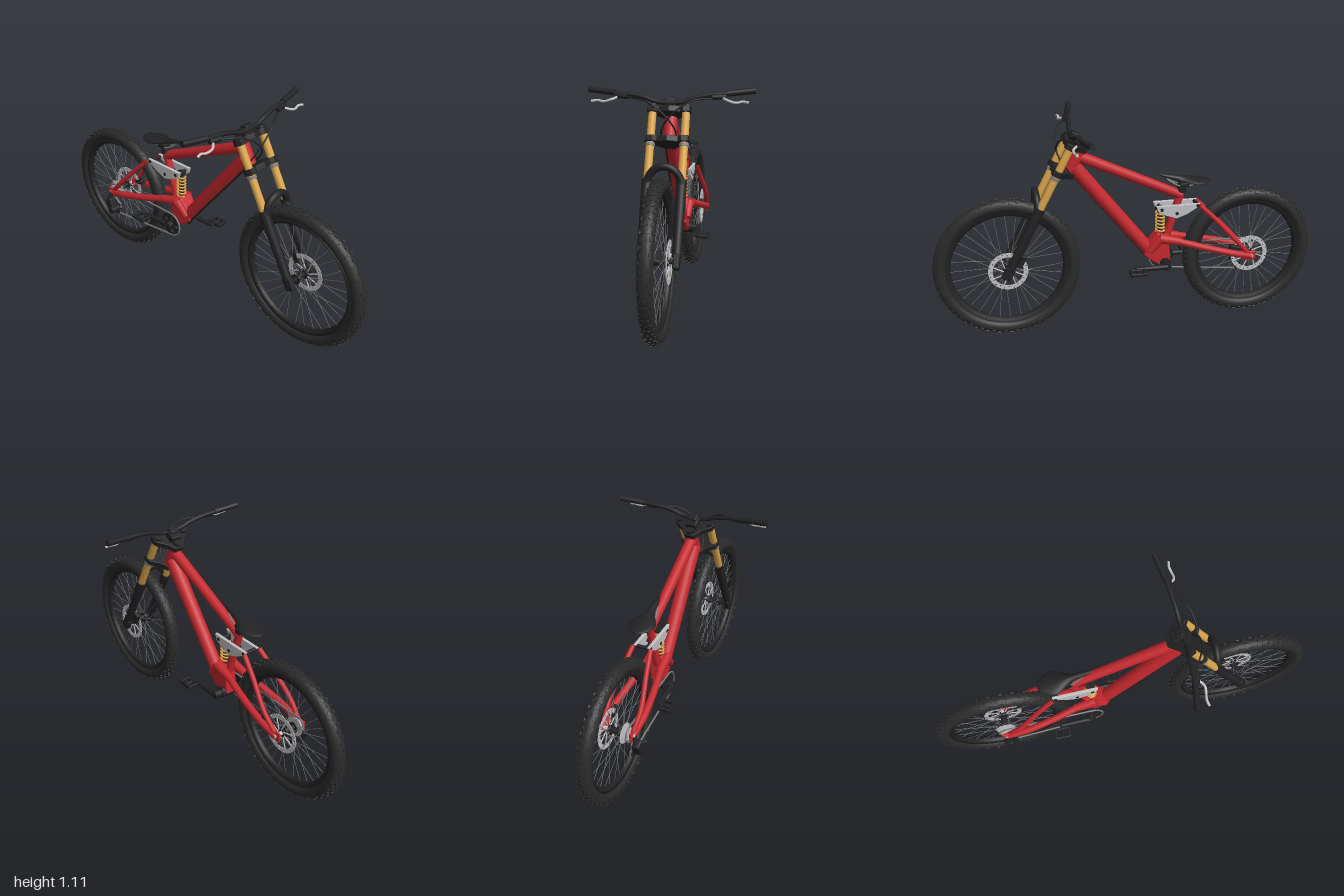
import * as THREE from 'three';
import { mergeGeometries } from 'three/addons/utils/BufferGeometryUtils.js';
import { RoundedBoxGeometry } from 'three/addons/geometries/RoundedBoxGeometry.js';

const mat = (name, color) => Object.assign(new THREE.MeshStandardMaterial({ color }), { name });
const tireBlack = mat('tireBlack', 0x2b2b2b);
const partBlack = mat('partBlack', 0x222224);
const red = mat('frameRed', 0xc4282e);
const gold = mat('gold', 0xd9a54a);
const silver = mat('silver', 0xc2c2c4);
const steel = mat('steel', 0x7d7d80);

const V = (p) => new THREE.Vector3(...p);

function add(parent, name, geo, material, pos = [0, 0, 0], rotZ = 0) {
  const m = new THREE.Mesh(geo, material);
  m.name = name;
  m.position.set(...pos);
  m.rotation.z = rotZ;
  parent.add(m);
  return m;
}

// Straight round bar from a to b, r at a and r2 at b
function rodGeo(a, b, r, r2 = r, sides = 20) {
  const d = V(b).sub(V(a));
  const g = new THREE.CylinderGeometry(r2, r, d.length(), sides);
  g.applyQuaternion(new THREE.Quaternion().setFromUnitVectors(new THREE.Vector3(0, 1, 0), d.clone().normalize()));
  const c = V(a).addScaledVector(d, 0.5);
  return g.translate(c.x, c.y, c.z);
}
const rod = (p, name, a, b, r, material, r2 = r) => add(p, name, rodGeo(a, b, r, r2), material);

const bentGeo = (pts, r, seg = 32, sides = 12) =>
  new THREE.TubeGeometry(new THREE.CatmullRomCurve3(pts.map(V)), seg, r, sides);
const bent = (p, name, pts, r, material) => add(p, name, bentGeo(pts, r), material);

// Flat plate from an outline, centred on its thickness
function plateGeo(pts, depth, holes = [], bevel = 0.003) {
  const s = new THREE.Shape(pts.map(([x, y]) => new THREE.Vector2(x, y)));
  holes.forEach(([x, y, r]) => s.holes.push(new THREE.Path().absarc(x, y, r, 0, Math.PI * 2, true)));
  const g = new THREE.ExtrudeGeometry(s, { depth, bevelEnabled: bevel > 0, bevelSize: bevel, bevelThickness: bevel, bevelSegments: 2, curveSegments: 10 });
  return g.translate(0, 0, -depth / 2);
}

const circle = (r, n = 48) => Array.from({ length: n }, (_, i) => [r * Math.cos(i / n * 2 * Math.PI), r * Math.sin(i / n * 2 * Math.PI)]);
const polar = (r, a, z) => [r * Math.cos(a), r * Math.sin(a), z];

// Brake disc: drilled ring with slanted arms
function discGeo() {
  const drill = Array.from({ length: 24 }, (_, i) => [...polar(i % 2 ? 0.094 : 0.086, i * Math.PI / 12, 0).slice(0, 2), 0.0035]);
  const parts = [plateGeo(circle(0.1, 72), 0.003, [[0, 0, 0.078], ...drill], 0).toNonIndexed?.() ?? null].filter(Boolean);
  for (let i = 0; i < 8; i++) {
    const a = i * Math.PI / 4;
    parts.push(rodGeo(polar(0.022, a, 0), polar(0.081, a + 0.35, 0), 0.0035, 0.0035, 6).toNonIndexed());
  }
  return mergeGeometries(parts);
}

function makeWheel(name, r, x, y) {
  const w = new THREE.Group();
  w.name = name;
  w.position.set(x, y, 0);
  const R = r - 0.038;
  add(w, 'tire', new THREE.TorusGeometry(R, 0.034, 14, 72), tireBlack);
  // Tread blocks in staggered rows
  const knobs = [];
  for (let i = 0; i < 72; i++) {
    for (const phi of i % 2 ? [-0.95, -0.32, 0.32, 0.95] : [-0.65, 0, 0.65]) {
      knobs.push(new THREE.BoxGeometry(0.012, 0.014, 0.011).rotateY(-phi)
        .translate(R + 0.032 * Math.cos(phi), 0, 0.032 * Math.sin(phi)).rotateZ(i / 72 * 2 * Math.PI));
    }
  }
  add(w, 'treadKnobs', mergeGeometries(knobs), tireBlack);
  const prof = [[r - 0.064, -0.02], [r - 0.08, -0.017], [r - 0.09, -0.008], [r - 0.09, 0.008], [r - 0.08, 0.017], [r - 0.064, 0.02], [r - 0.064, -0.02]];
  add(w, 'rim', new THREE.LatheGeometry(prof.map(p => new THREE.Vector2(...p)), 72).rotateX(Math.PI / 2),
    partBlack).material.side = THREE.DoubleSide;
  const spokes = [];
  for (let i = 0; i < 32; i++) {
    const a = i / 32 * 2 * Math.PI, z = i % 2 ? 0.03 : -0.03;
    spokes.push(rodGeo(polar(0.024, a + (i % 4 < 2 ? 0.9 : -0.9), z), polar(r - 0.087, a, 0), 0.0013, 0.0013, 5));
  }
  add(w, 'spokes', mergeGeometries(spokes), steel);
  rod(w, 'hub', [0, 0, -0.045], [0, 0, 0.045], 0.016, partBlack);
  for (const z of [-0.03, 0.03]) rod(w, 'hubFlange', [0, 0, z - 0.003], [0, 0, z + 0.003], 0.027, partBlack);
  add(w, 'brakeDisc', discGeo(), silver, [0, 0, -0.048]);
  return w;
}

function makeFork() {
  // Local y runs up the steering axis from the front axle
  const f = new THREE.Group();
  f.name = 'fork';
  f.position.set(0.625, 0.378, 0);
  f.rotation.z = 0.478;
  for (const s of [1, -1]) {
    const z = s * 0.079;
    rod(f, 'stanchion', [0, 0.34, z], [0, 0.735, z], 0.019, gold);
    rod(f, 'lowerLeg', [0, 0.02, z], [0, 0.375, z], 0.021, partBlack, 0.025);
    add(f, 'dropout', new RoundedBoxGeometry(0.05, 0.07, 0.03, 2, 0.008), partBlack, [0, 0, z]);
    rod(f, 'bumper', [0, 0.535, z], [0, 0.55, z], 0.023, steel);
    rod(f, 'legCap', [0, 0.73, z], [0, 0.742, z], 0.021, partBlack);
  }
  bent(f, 'arch', [[0, 0.31, 0.08], [0.012, 0.37, 0.077], [0.036, 0.412, 0.045], [0.044, 0.425, 0], [0.036, 0.412, -0.045], [0.012, 0.37, -0.077], [0, 0.31, -0.08]], 0.018, partBlack);
  rod(f, 'axle', [0, 0, -0.098], [0, 0, 0.098], 0.01, partBlack);
  add(f, 'caliper', new RoundedBoxGeometry(0.035, 0.07, 0.03, 2, 0.006), partBlack, [-0.035, 0.08, -0.06]);
  // Crowns clamp both legs and the steerer
  const half = [[0.024, 0], [0.012, 0.05], [0.025, 0.068], [0.022, 0.095], [0, 0.102], [-0.022, 0.095], [-0.055, 0.05], [-0.092, 0.022]];
  const outline = [...half, ...half.slice(1).reverse().map(([x, z]) => [x, -z])];
  for (const [name, y] of [['upperCrown', 0.716], ['lowerCrown', 0.57]])
    add(f, name, plateGeo(outline, 0.024).rotateX(Math.PI / 2), partBlack, [0, y, 0]);
  rod(f, 'headTube', [-0.067, 0.582, 0], [-0.067, 0.702, 0], 0.031, red);
  rod(f, 'steererCap', [-0.067, 0.72, 0], [-0.067, 0.745, 0], 0.021, partBlack);
  add(f, 'stem', new RoundedBoxGeometry(0.06, 0.04, 0.06, 2, 0.008), partBlack, [-0.025, 0.745, 0]);
  add(f, 'barClamp', new RoundedBoxGeometry(0.04, 0.04, 0.045, 2, 0.008), partBlack, [-0.008, 0.757, 0]);
  return f;
}

function makeCockpit() {
  const c = new THREE.Group();
  c.name = 'handlebar';
  const side = [[0.265, 1.09, 0.28], [0.272, 1.083, 0.19], [0.278, 1.07, 0.12], [0.282, 1.05, 0.06]];
  const mirror = (p) => [p[0], p[1], -p[2]];
  bent(c, 'bar', [...side, [0.283, 1.047, 0], ...side.map(mirror).reverse()], 0.011, partBlack);
  for (const s of [1, -1]) {
    const m = ([x, y, z]) => [x, y, z * s];
    rod(c, 'grip', m([0.265, 1.09, 0.265]), m([0.242, 1.103, 0.395]), 0.0145, partBlack);
    rod(c, 'leverBody', m([0.288, 1.074, 0.2]), m([0.278, 1.076, 0.262]), 0.012, partBlack);
    bent(c, 'brakeLever', [[0.29, 1.07, 0.25], [0.31, 1.06, 0.275], [0.308, 1.051, 0.31], [0.302, 1.056, 0.34], [0.308, 1.052, 0.37]].map(m), 0.006, silver);
    bent(c, 'hose', [[0.29, 1.07, 0.2], [0.34, 1.06, 0.11], [0.36, 1.0, 0.02], [0.34, 0.93, -0.03], [0.29, 0.86, -0.037]].map(m), 0.004, partBlack);
  }
  return c;
}

function makeFrame() {
  const f = new THREE.Group();
  f.name = 'frame';
  rod(f, 'topTube', [-0.275, 0.7, 0], [0.26, 0.945, 0], 0.024, red, 0.029);
  rod(f, 'downTube', [-0.11, 0.405, 0], [0.275, 0.89, 0], 0.034, red, 0.037);
  rod(f, 'seatTube', [-0.28, 0.735, 0], [-0.19, 0.44, 0], 0.02, red);
  add(f, 'lowerGusset', plateGeo([[-0.2, 0.49], [-0.15, 0.5], [-0.1, 0.44], [-0.085, 0.39], [-0.12, 0.36], [-0.18, 0.32], [-0.215, 0.34]], 0.05, [], 0.006), red);
  rod(f, 'bottomBracket', [-0.19, 0.337, -0.05], [-0.19, 0.337, 0.05], 0.028, partBlack);
  bent(f, 'downTubeCable', [[-0.1, 0.36, 0.02], [0.0, 0.488, 0.022], [0.13, 0.65, 0.022], [0.285, 0.845, 0.02]], 0.005, partBlack);
  for (const s of [1, -1]) {
    const m = ([x, y, z]) => [x, y, z * s];
    bent(f, 'chainStay', [[-0.645, 0.355, 0.078], [-0.53, 0.385, 0.082], [-0.38, 0.425, 0.066], [-0.25, 0.46, 0.045], [-0.165, 0.48, 0.04]].map(m), 0.018, red);
    rod(f, 'swingarmFront', m([-0.27, 0.456, 0.045]), m([-0.155, 0.482, 0.038]), 0.02, red, 0.026);
    rod(f, 'swingarmLink', m([-0.165, 0.482, 0.037]), m([-0.105, 0.41, 0.03]), 0.025, red, 0.02);
    bent(f, 'seatStay', [[-0.64, 0.36, 0.075], [-0.56, 0.45, 0.083], [-0.45, 0.57, 0.062], [-0.365, 0.652, 0.046]].map(m), 0.0125, red);
    add(f, 'rockerPlate', plateGeo([[-0.365, 0.658], [-0.14, 0.658], [-0.15, 0.63], [-0.185, 0.61], [-0.245, 0.59], [-0.3, 0.61], [-0.35, 0.64]], 0.01), silver, [0, 0, s * 0.036]);
    add(f, 'rearDropout', new RoundedBoxGeometry(0.06, 0.05, 0.012, 2, 0.005), red, [-0.64, 0.358, s * 0.078]);
  }
  for (const [name, x, y] of [['rearPivot', -0.355, 0.65], ['rockerPivot', -0.245, 0.615], ['shockPivot', -0.165, 0.64], ['swingarmPivot', -0.16, 0.48]])
    rod(f, name, [x, y, -0.046], [x, y, 0.046], 0.009, partBlack);
  rod(f, 'rearAxle', [-0.644, 0.36, -0.092], [-0.644, 0.36, 0.092], 0.01, silver);
  // Coil shock
  rod(f, 'shockBody', [-0.167, 0.48, 0], [-0.167, 0.64, 0], 0.013, partBlack);
  for (const y of [0.495, 0.635]) rod(f, 'springSeat', [-0.167, y - 0.006, 0], [-0.167, y + 0.006, 0], 0.026, partBlack);
  const coil = Array.from({ length: 85 }, (_, i) => {
    const a = i / 12 * 2 * Math.PI;
    return [-0.167 + 0.022 * Math.cos(a), 0.5 + 0.13 * i / 84, 0.022 * Math.sin(a)];
  });
  add(f, 'spring', bentGeo(coil, 0.005, 200, 8), gold);
  return f;
}

function makeSaddle() {
  const g = new THREE.Group();
  g.name = 'saddle';
  // Ball reshaped into a wide tail and a slim raised nose
  const geo = new THREE.SphereGeometry(1, 32, 20).rotateZ(Math.PI / 2);
  const p = geo.attributes.position;
  for (let i = 0; i < p.count; i++) {
    const u = p.getX(i), y = p.getY(i), z = p.getZ(i);
    const width = 0.02 + 0.052 * (1 - THREE.MathUtils.smoothstep(u, -0.5, 0.35));
    p.setXYZ(i, -0.292 + 0.138 * u, 0.79 + 0.024 * u + 0.006 * u * u + y * (y > 0 ? 0.012 : 0.016) - 0.012 * z * z * (u < 0.3 ? 1 : 0.5), z * width);
  }
  geo.computeVertexNormals();
  add(g, 'seat', geo, partBlack);
  for (const s of [1, -1])
    bent(g, 'seatRail', [[-0.38, 0.775, 0.03 * s], [-0.33, 0.757, 0.022 * s], [-0.26, 0.757, 0.022 * s], [-0.2, 0.79, 0.01 * s]], 0.004, steel);
  rod(g, 'seatPost', [-0.277, 0.72, 0], [-0.288, 0.76, 0], 0.015, partBlack);
  rod(g, 'seatClamp', [-0.273, 0.718, 0], [-0.28, 0.74, 0], 0.025, partBlack);
  add(g, 'railClamp', new RoundedBoxGeometry(0.05, 0.022, 0.055, 2, 0.005), partBlack, [-0.288, 0.758, 0]);
  return g;
}

function makeDrivetrain() {
  const d = new THREE.Group();
  d.name = 'drivetrain';
  const [bx, by] = [-0.19, 0.337];
  const teeth = (r, n) => circle(r, n * 2).map(([x, y], i) => [x * (i % 2 ? 1 : 0.94), y * (i % 2 ? 1 : 0.94)]);
  const holes = Array.from({ length: 5 }, (_, i) => [...polar(0.04, i * 1.2566, 0).slice(0, 2), 0.014]);
  add(d, 'chainring', plateGeo(teeth(0.068, 32), 0.005, holes, 0), partBlack, [bx, by, 0.06]);
  // Crank arms and pedals
  for (const s of [1, -1]) {
    const px = bx - s * 0.165, z = s * 0.082;
    rod(d, 'crankBoss', [bx, by, s * 0.045], [bx, by, s * 0.09], 0.02, partBlack);
    rod(d, 'crankArm', [bx, by, z], [px, by, z], 0.015, partBlack, 0.011);
    rod(d, 'pedalAxle', [px, by, s * 0.075], [px, by, s * 0.15], 0.008, partBlack);
    for (const e of [-1, 1]) {
      add(d, 'pedalBar', new RoundedBoxGeometry(0.015, 0.02, 0.058, 2, 0.004), partBlack, [px + e * 0.035, by, s * 0.125]);
      add(d, 'pedalEnd', new RoundedBoxGeometry(0.08, 0.018, 0.012, 2, 0.004), partBlack, [px, by, s * 0.125 + e * 0.024]);
    }
  }
  // Cassette
  for (let i = 0; i < 7; i++)
    add(d, 'cog', plateGeo(teeth(0.052 - i * 0.004, 22 - i), 0.002, [], 0), silver, [-0.644, 0.36, 0.038 + i * 0.0045]);
  // Derailleur and chain
  add(d, 'derailleurBody', new RoundedBoxGeometry(0.05, 0.075, 0.04, 2, 0.01), partBlack, [-0.635, 0.29, 0.1], 0.4);
  rod(d, 'derailleurHanger', [-0.642, 0.355, 0.085], [-0.65, 0.31, 0.1], 0.012, partBlack);
  rod(d, 'derailleurKnuckle', [-0.615, 0.262, 0.07], [-0.615, 0.262, 0.125], 0.02, partBlack);
  for (const z of [0.054, 0.068])
    add(d, 'derailleurCage', plateGeo([[-0.625, 0.285], [-0.598, 0.285], [-0.61, 0.222], [-0.635, 0.218], [-0.643, 0.232]], 0.003, [], 0.001), partBlack, [0, 0, z]);
  for (const [x, y] of [[-0.612, 0.272], [-0.626, 0.235]]) rod(d, 'jockeyWheel', [x, y, 0.058], [x, y, 0.064], 0.016, steel);
  const path = [[-0.19, 0.403], [-0.644, 0.4], [-0.672, 0.386], [-0.682, 0.355], [-0.66, 0.325], [-0.6, 0.285], [-0.6, 0.262], [-0.638, 0.245], [-0.64, 0.228], [-0.625, 0.22], [-0.19, 0.27]];
  for (let i = 0; i <= 8; i++) path.push([bx + 0.066 * Math.sin(i * Math.PI / 8), by - 0.066 * Math.cos(i * Math.PI / 8)]);
  add(d, 'chain', mergeGeometries(path.slice(1).map((p, i) => rodGeo([...path[i], 0.061], [...p, 0.061], 0.0048, 0.0048, 6))), steel);
  add(d, 'rearCaliper', new RoundedBoxGeometry(0.06, 0.03, 0.03, 2, 0.006), partBlack, [-0.56, 0.4, -0.06], 0.3);
  return d;
}

export function createModel() {
  const bike = new THREE.Group();
  bike.name = 'mountainBike';
  bike.add(makeWheel('frontWheel', 0.373, 0.625, 0.376), makeWheel('rearWheel', 0.354, -0.644, 0.358),
    makeFork(), makeCockpit(), makeFrame(), makeSaddle(), makeDrivetrain());
  return bike;
}
